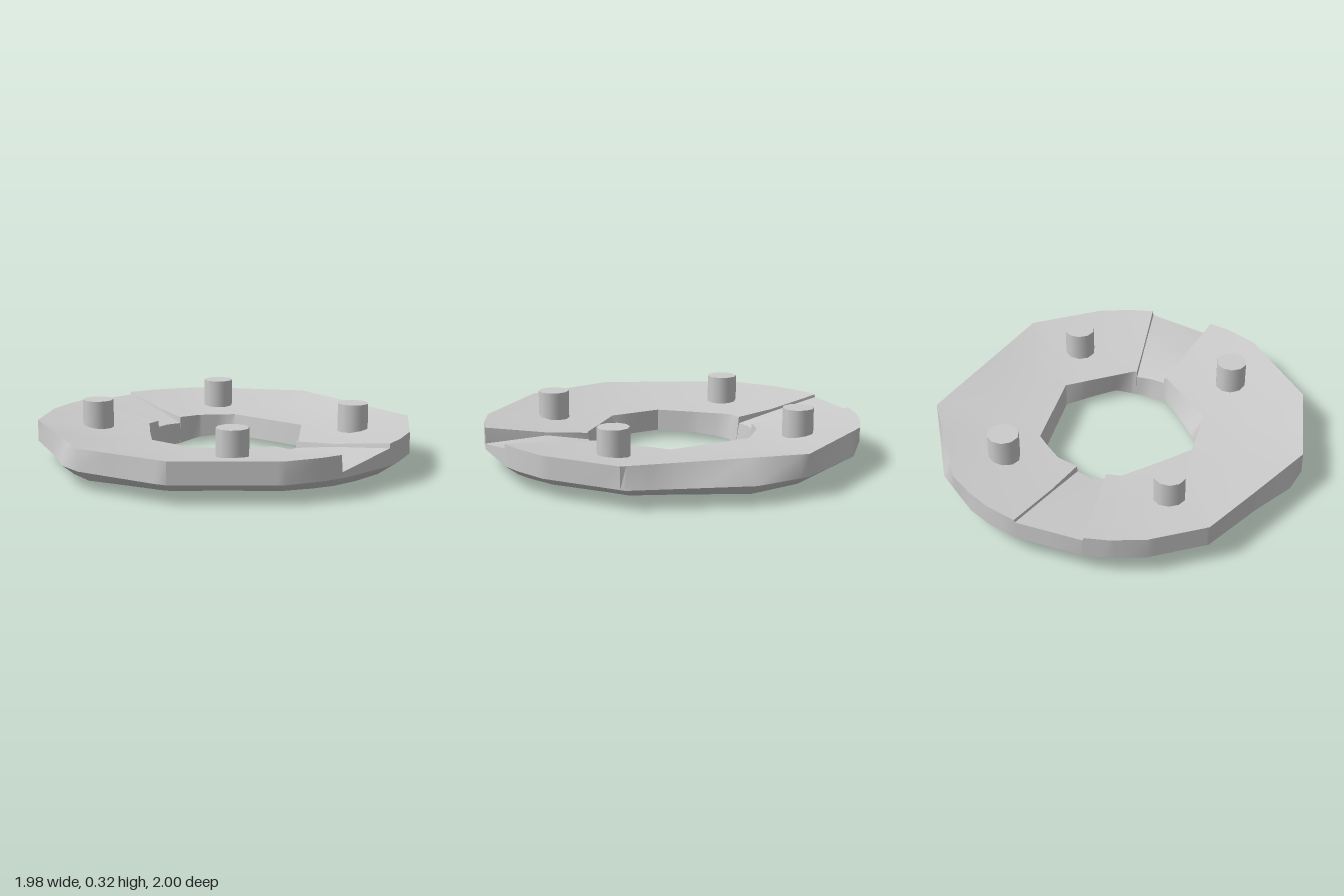
import * as THREE from 'three';
import { toCreasedNormals } from 'three/addons/utils/BufferGeometryUtils.js';

// Plan outlines as [x, z] corners, in order around the y axis
const topOutline = [[0.99, 0.17], [0.96, 0.3], [0.89, 0.47], [0.5, 0.87], [0, 1], [-0.38, 0.85], [-0.7, 0.72],
  [-0.89, 0.47], [-0.96, 0.3], [-0.99, 0.17], [-0.99, -0.19], [-0.95, -0.34], [-0.89, -0.47], [-0.8, -0.61],
  [-0.3, -0.96], [0.62, -0.8], [0.89, -0.47], [0.96, -0.3], [0.99, -0.19]];
const rimOutline = [[0.99, 0.17], [0.96, 0.3], [0.89, 0.47], [0.5, 0.87], [0.45, 0.89], [0, 1], [-0.15, 0.98],
  [-0.38, 0.86], [-0.7, 0.72], [-0.89, 0.47], [-0.96, 0.3], [-0.99, 0.17], [-0.99, -0.19], [-0.95, -0.34],
  [-0.89, -0.47], [-0.7, -0.72], [-0.3, -0.96], [0, -1], [0.6, -0.82], [0.89, -0.47], [0.96, -0.3], [0.99, -0.19]];
const topHole = [[0.45, 0.1], [0.19, 0.4], [-0.1, 0.43], [-0.24, 0.32], [-0.43, 0.16], [-0.46, 0], [-0.41, -0.2],
  [-0.34, -0.29], [-0.28, -0.36], [0.19, -0.41], [0.45, -0.1], [0.46, 0]];
const bottomHole = [[0.43, 0.1], [0.08, 0.41], [-0.1, 0.43], [-0.24, 0.32], [-0.41, 0.14], [-0.45, 0], [-0.41, -0.2],
  [-0.34, -0.29], [-0.25, -0.35], [0.17, -0.4], [0.41, -0.19], [0.45, -0.05]];

const GROOVE = 0.18; // half angle of the two radial grooves

// Distance from the centre to an outline in direction a
function reach(outline, a) {
  const c = Math.cos(a), s = Math.sin(a);
  let best = 0;
  outline.forEach(([x, z], i) => {
    const [x2, z2] = outline[(i + 1) % outline.length];
    const s1 = c * z - s * x, s2 = c * z2 - s * x2;
    if (s1 * s2 > 1e-12 || s1 === s2) return;
    const t = s1 / (s1 - s2);
    best = Math.max(best, c * (x + t * (x2 - x)) + s * (z + t * (z2 - z)));
  });
  return best;
}

// Cross-section of the ring as [radius, y], from inner bottom round to inner top
function section(a) {
  const side = Math.asin(Math.min(1, Math.abs(Math.sin(a)))); // angle away from the x axis
  const lump = Math.exp(-((side / 0.4) ** 2));
  const inGroove = side < GROOVE;
  const rim = reach(rimOutline, a), top = reach(topOutline, a);
  const low = reach(bottomHole, a), high = reach(topHole, a);
  // The left groove slopes down towards the front at the rim; the right one stays shallow there
  const across = (Math.sin(a) / Math.sin(GROOVE) + 1) / 2;
  const grooveRim = Math.cos(a) > 0 ? 0.19 - 0.06 * across : 0.2;
  return [
    [low, 0.037 * (1 - lump)],
    [0.68, 0.055 - 0.035 * lump],
    [rim * 0.93, 0.042 + 0.015 * Math.abs(Math.sin(2 * a))],
    [rim, 0.1],
    [top, inGroove ? grooveRim : 0.215],
    [0.68, inGroove ? 0.155 : 0.17],
    [high, inGroove ? 0.12 : 0.155],
  ];
}

function ringGeometry() {
  const full = Math.PI * 2;
  const angles = [topOutline, rimOutline, topHole, bottomHole].flat()
    .map(([x, z]) => (Math.atan2(z, x) + full) % full);
  for (let i = 0; i < 24; i++) angles.push((i * full) / 24);
  // Paired angles give the grooves steep walls
  for (const mid of [0, Math.PI]) {
    for (const d of [GROOVE - 0.002, GROOVE + 0.002]) angles.push((mid + d) % full, (mid - d + full) % full);
  }
  angles.sort((a, b) => a - b);
  const list = angles.filter((a, i) => i === 0 || a - angles[i - 1] > 0.0005);
  const rows = list.map((a) => section(a).map(([r, y]) => [r * Math.cos(a), y, r * Math.sin(a)]));
  const n = rows[0].length, position = [], index = [];
  rows.flat().forEach((p) => position.push(...p));
  for (let i = 0; i < rows.length; i++) {
    const next = (i + 1) % rows.length;
    for (let j = 0; j < n; j++) {
      const k = (j + 1) % n;
      const a = i * n + j, b = i * n + k, c = next * n + j, d = next * n + k;
      index.push(a, b, c, b, d, c);
    }
  }
  const geometry = new THREE.BufferGeometry();
  geometry.setAttribute('position', new THREE.Float32BufferAttribute(position, 3));
  geometry.setIndex(index);
  return toCreasedNormals(geometry.toNonIndexed(), 0.7);
}

export function createModel() {
  const group = new THREE.Group();
  const material = new THREE.MeshStandardMaterial({ color: 0xcccccc });

  // Dished ring with two grooves on top and two bosses underneath
  const ring = new THREE.Mesh(ringGeometry(), material);
  ring.name = 'ringPlate';
  group.add(ring);

  // Four locating pegs
  const pegGeometry = new THREE.CylinderGeometry(0.083, 0.083, 0.18, 10);
  for (const x of [-0.517, 0.517]) {
    for (const z of [-0.457, 0.45]) {
      const peg = new THREE.Mesh(pegGeometry, material);
      peg.name = 'peg';
      peg.position.set(x, 0.228, z);
      group.add(peg);
    }
  }
  return group;
}
